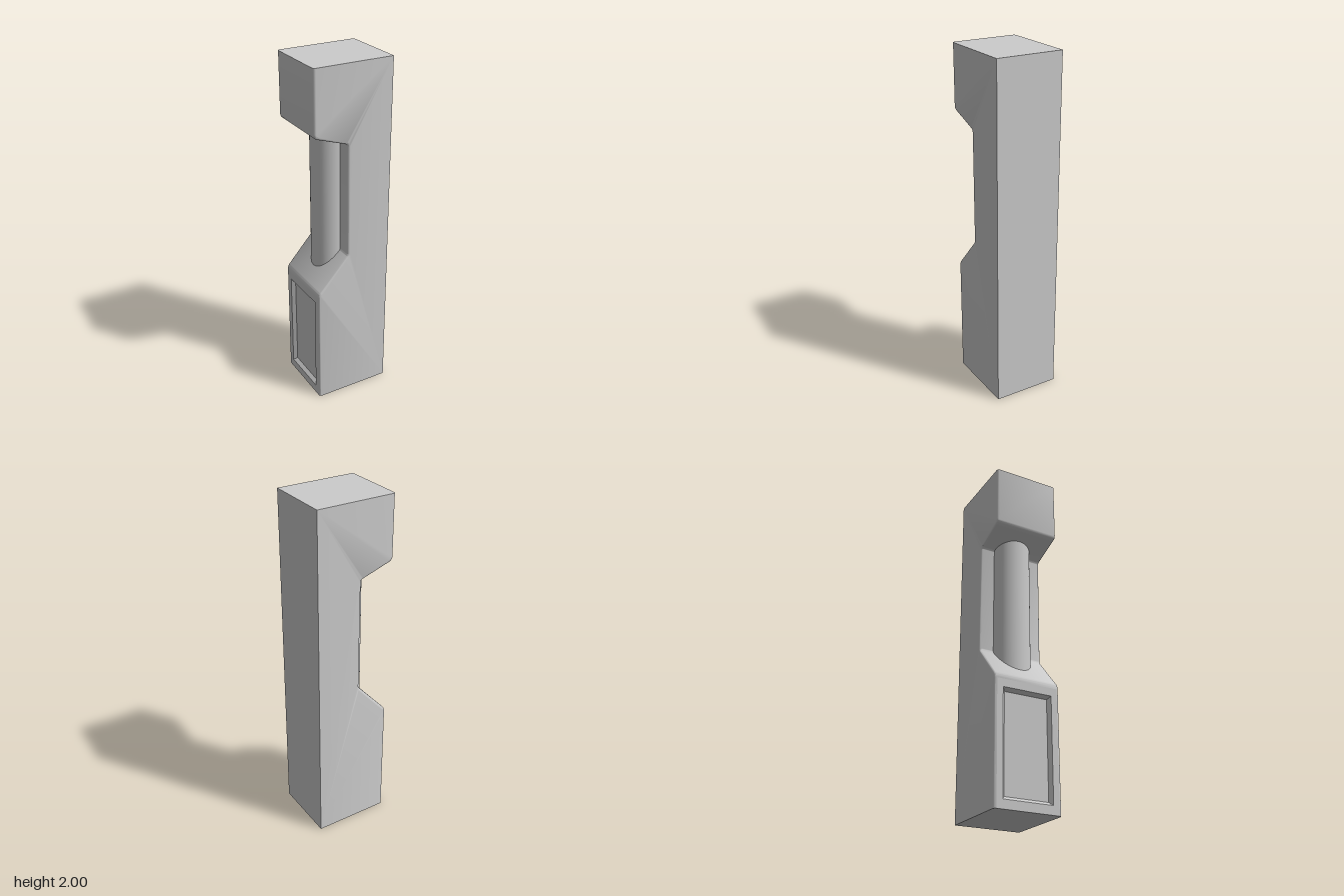
import * as THREE from 'three';
import { toCreasedNormals } from 'three/addons/utils/BufferGeometryUtils.js';

const HALF = 0.194;   // half depth in z
const BEVEL = 0.014;  // rounding of the edges on the notched side
const FACE = -0.215;  // x of the lower face
const FACE_TOP = 0.685;

// Side profile with rounded corners around the grip notch
function profile() {
  const s = new THREE.Shape();
  s.moveTo(0.23, 0);
  s.lineTo(0.23, 2);
  s.lineTo(-0.232, 2);
  s.lineTo(-0.232, 1.66);
  s.quadraticCurveTo(-0.232, 1.635, -0.205, 1.627);
  s.lineTo(-0.045, 1.573);
  s.quadraticCurveTo(-0.033, 1.57, -0.033, 1.555);
  s.lineTo(-0.03, 0.925);
  s.quadraticCurveTo(-0.03, 0.915, -0.038, 0.906);
  s.lineTo(-0.203, 0.722);
  s.quadraticCurveTo(FACE, 0.71, FACE, FACE_TOP);
  s.lineTo(FACE, 0);
  return s;
}

// Extruded body: bevel kept on the notched side only, lower face left open
function bodyGeometry() {
  const geo = new THREE.ExtrudeGeometry(profile(), {
    depth: 2 * (HALF - BEVEL), steps: 1, curveSegments: 6,
    bevelEnabled: true, bevelSize: BEVEL, bevelThickness: BEVEL,
    bevelOffset: -BEVEL, bevelSegments: 4,
  });
  geo.translate(0, 0, BEVEL - HALF);
  const p = geo.attributes.position;
  for (let i = 0; i < p.count; i++) {
    if (p.getX(i) > 0.2) p.setX(i, 0.23);
    if (p.getY(i) < 0.03) p.setY(i, 0);
    if (p.getY(i) > 1.97) p.setY(i, 2);
  }
  const kept = [];
  for (let i = 0; i < p.count; i += 3) {
    const onFace = [i, i + 1, i + 2].every(
      (k) => Math.abs(p.getX(k) - FACE) < 1e-4 && p.getY(k) < FACE_TOP + 1e-3);
    if (onFace) continue;
    for (let k = i; k < i + 3; k++) kept.push(p.getX(k), p.getY(k), p.getZ(k));
  }
  const out = new THREE.BufferGeometry();
  out.setAttribute('position', new THREE.Float32BufferAttribute(kept, 3));
  return toCreasedNormals(out, 0.6);
}

// Lower face: flat frame, sloped rim and sunken floor, as nested rectangles
function panelGeometry() {
  const ring = (x, z, y0, y1) => [[x, y0, -z], [x, y0, z], [x, y1, z], [x, y1, -z]];
  const rings = [
    ring(FACE, HALF - BEVEL, 0, FACE_TOP),
    ring(FACE, 0.145, 0.05, 0.64),
    ring(FACE + 0.02, 0.128, 0.068, 0.622),
  ];
  const pos = [];
  const quad = (a, b, c, d) => pos.push(...a, ...b, ...c, ...a, ...c, ...d);
  for (let r = 0; r < 2; r++) {
    for (let i = 0; i < 4; i++) {
      const j = (i + 1) % 4;
      quad(rings[r][i], rings[r][j], rings[r + 1][j], rings[r + 1][i]);
    }
  }
  quad(...rings[2]);
  const geo = new THREE.BufferGeometry();
  geo.setAttribute('position', new THREE.Float32BufferAttribute(pos, 3));
  geo.computeVertexNormals();
  return geo;
}

export function createModel() {
  const model = new THREE.Group();
  model.name = 'notchedPost';
  const material = new THREE.MeshStandardMaterial({ color: 0xcccccc });
  const add = (name, geo) => {
    const mesh = new THREE.Mesh(geo, material);
    mesh.name = name;
    model.add(mesh);
    return mesh;
  };

  add('body', bodyGeometry());
  add('recessedPanel', panelGeometry());

  // Rounded column standing half out of the notch wall
  const column = add('gripColumn', new THREE.CylinderGeometry(0.11, 0.11, 0.84, 48));
  column.position.set(-0.032, 1.2, 0);

  return model;
}
